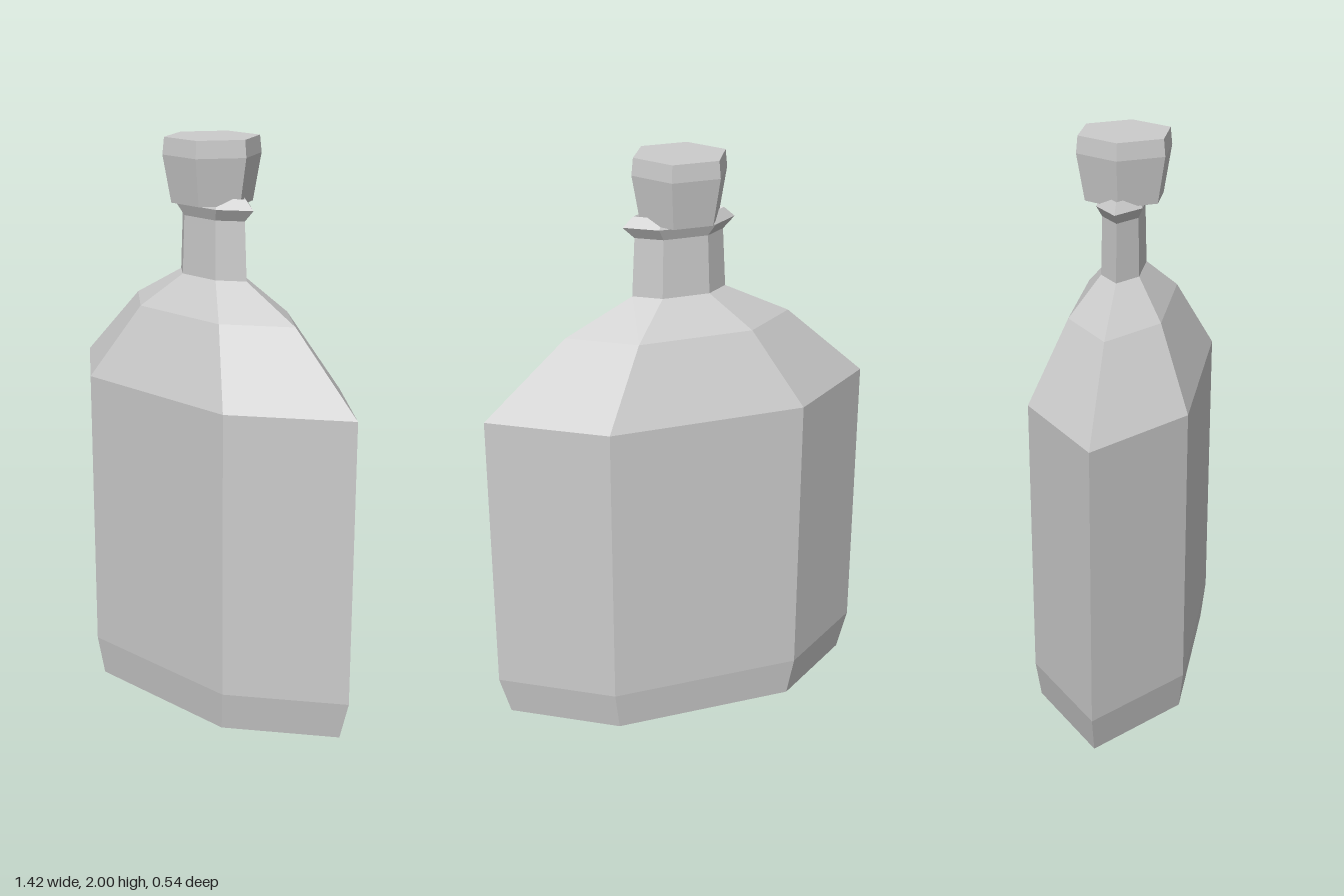
import * as THREE from 'three';

// Six-sided turned part with corners on the x axis, squeezed in z by depth
function hexLathe(name, profile, depth, material) {
  const points = profile.map(([r, y]) => new THREE.Vector2(r, y));
  const geometry = new THREE.LatheGeometry(points, 6, Math.PI / 2);
  geometry.scale(1, 1, depth);
  const flat = geometry.toNonIndexed();
  flat.computeVertexNormals();
  const mesh = new THREE.Mesh(flat, material);
  mesh.name = name;
  return mesh;
}

export function createModel() {
  const group = new THREE.Group();
  group.name = 'bottle';
  const grey = new THREE.MeshStandardMaterial({ color: 0xcccccc, flatShading: true });
  grey.name = 'grey';

  // Flattened body with chamfered foot and sloping shoulders
  group.add(hexLathe('body', [
    [0, 0], [0.655, 0], [0.697, 0.135], [0.712, 1.135], [0.415, 1.4], [0.172, 1.52],
  ], 0.44, grey));

  // Neck with flared lip, closed under the stopper
  group.add(hexLathe('neck', [
    [0.172, 1.52], [0.162, 1.725], [0.205, 1.765], [0.165, 1.8], [0.14, 1.775], [0, 1.775],
  ], 0.44, grey));

  // Regular hexagonal stopper
  const stopper = hexLathe('stopper', [
    [0, 1.775], [0.143, 1.775], [0.173, 1.94], [0.167, 2], [0, 2],
  ], 1, grey);
  stopper.position.set(-0.003, 0, 0.002);
  group.add(stopper);

  return group;
}
